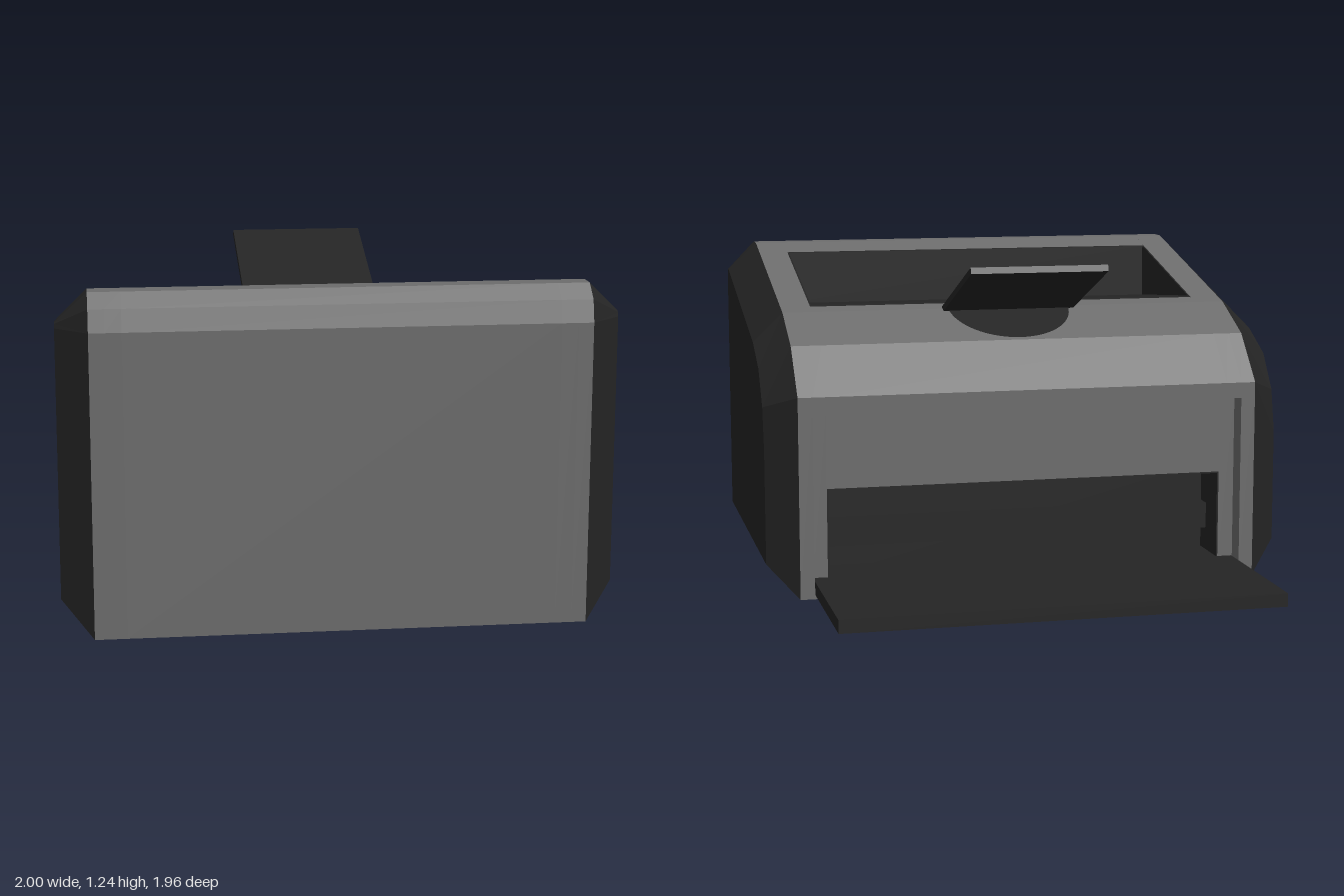
import * as THREE from 'three';

export function createModel() {
  const root = new THREE.Group();
  root.name = 'desktopPrinter';
  const grey = new THREE.MeshStandardMaterial({ color: 0x6c6c6c });
  grey.name = 'casingGrey';
  const dark = new THREE.MeshStandardMaterial({ color: 0x242424 });
  dark.name = 'panelCharcoal';

  function add(name, geometry, material, x = 0, y = 0, z = 0) {
    const mesh = new THREE.Mesh(geometry, material);
    mesh.name = name;
    mesh.position.set(x, y, z);
    root.add(mesh);
    return mesh;
  }
  const box = (name, w, h, d, mat, x, y, z) => add(name, new THREE.BoxGeometry(w, h, d), mat, x, y, z);

  // Extrudes a [z, y] profile between two x positions
  function slab(name, profile, x0, x1, material) {
    const shape = new THREE.Shape(profile.map(([z, y]) => new THREE.Vector2(-z, y)));
    const geo = new THREE.ExtrudeGeometry(shape, { depth: x1 - x0, bevelEnabled: false });
    geo.rotateY(Math.PI / 2);
    return add(name, geo, material, x0);
  }

  // Casing profiles: full outline, back opening, and output recess
  const front = [[0.98, 0], [0.98, 1.1], [0.96, 1.18], [0.9, 1.23], [0.82, 1.23]];
  const rear = [[-0.03, 1.03], [-0.26, 0.93], [-0.43, 0.76]];
  const recess = [[0.69, 1.199], [0.69, 0.98], [0.03, 1.044]];
  const lintel = [[-0.43, 0.7], [-0.35, 0.7]];
  const sill = [[-0.43, 0.01], [-0.43, 0]];
  const endProfile = [...front, ...rear, [-0.43, 0]];
  const jambProfile = [...front, ...rear, ...lintel, [-0.35, 0.01], ...sill];
  const middleProfile = [...front, ...recess, ...rear, ...lintel,
    [-0.35, 0.4], [-0.15, 0.4], [-0.15, 0.01], ...sill];

  slab('casingMiddle', middleProfile, -0.77, 0.77, grey);
  for (const s of [-1, 1]) {
    const span = (a, b) => (s > 0 ? [a, b] : [-b, -a]);
    slab('casingJamb', jambProfile, ...span(0.77, 0.83), grey);
    slab('casingEnd', endProfile, ...span(0.83, 0.885), grey);
    // Dark linings of the output recess and of the rear cavity
    slab('recessSide', recess, ...span(0.764, 0.77), dark);
    box('cavitySide', 0.006, 0.39, 0.2, dark, s * 0.767, 0.205, -0.25);
  }
  slab('recessLining', [...recess, [0.05, 1.048], [0.684, 0.987], [0.684, 1.197]], -0.766, 0.766, dark);
  box('cavityBack', 1.53, 0.39, 0.006, dark, 0, 0.205, -0.153);
  box('cavityCeiling', 1.53, 0.006, 0.198, dark, 0, 0.397, -0.25);
  box('feedShelf', 1.53, 0.1, 0.06, dark, 0, 0.2, -0.19);

  // Side covers tapering from the casing outline to a smaller flat face
  const outer = [...front, ...rear, [-0.43, 0.55], [-0.43, 0]];
  const inner = [[0.87, 0.12], [0.87, 1.1], [0.865, 1.115], [0.855, 1.12], [0.84, 1.12],
    [-0.03, 0.92], [-0.2, 0.84], [-0.3, 0.71], [-0.335, 0.55], [-0.335, 0.12]];
  function sideCover(s) {
    const n = outer.length;
    const pos = [];
    const index = [];
    const tri = (a, b, c) => (s > 0 ? index.push(a, b, c) : index.push(a, c, b));
    outer.forEach(([z, y]) => pos.push(s * 0.885, y, z));
    inner.forEach(([z, y]) => pos.push(s, y, z));
    for (let i = 0; i < n; i++) {
      const j = (i + 1) % n;
      tri(i, n + i, n + j);
      tri(i, n + j, j);
      if (i > 0 && i < n - 1) tri(n, n + i + 1, n + i);
    }
    const geo = new THREE.BufferGeometry();
    geo.setAttribute('position', new THREE.Float32BufferAttribute(pos, 3));
    geo.setIndex(index);
    const flat = geo.toNonIndexed();
    flat.computeVertexNormals();
    return flat;
  }
  add('leftCover', sideCover(1), dark);
  add('rightCover', sideCover(-1), dark);

  // Flat paper tray sliding out of the back
  box('paperTray', 1.655, 0.05, 0.82, dark, 0, 0.037, -0.57);

  // Raised paper support and the finger notch below it
  const support = box('paperSupport', 0.52, 0.025, 0.566, dark, 0, 1.125, -0.285);
  support.rotation.x = Math.atan2(0.2, 0.53);
  const half = new THREE.Shape();
  half.absarc(0, 0, 0.24, 0, Math.PI, false);
  const notch = add('fingerNotch', new THREE.ShapeGeometry(half, 24).rotateX(-Math.PI / 2), dark, 0, 1.034, -0.032);
  notch.rotation.x = -Math.atan2(0.1, 0.23);

  return root;
}
